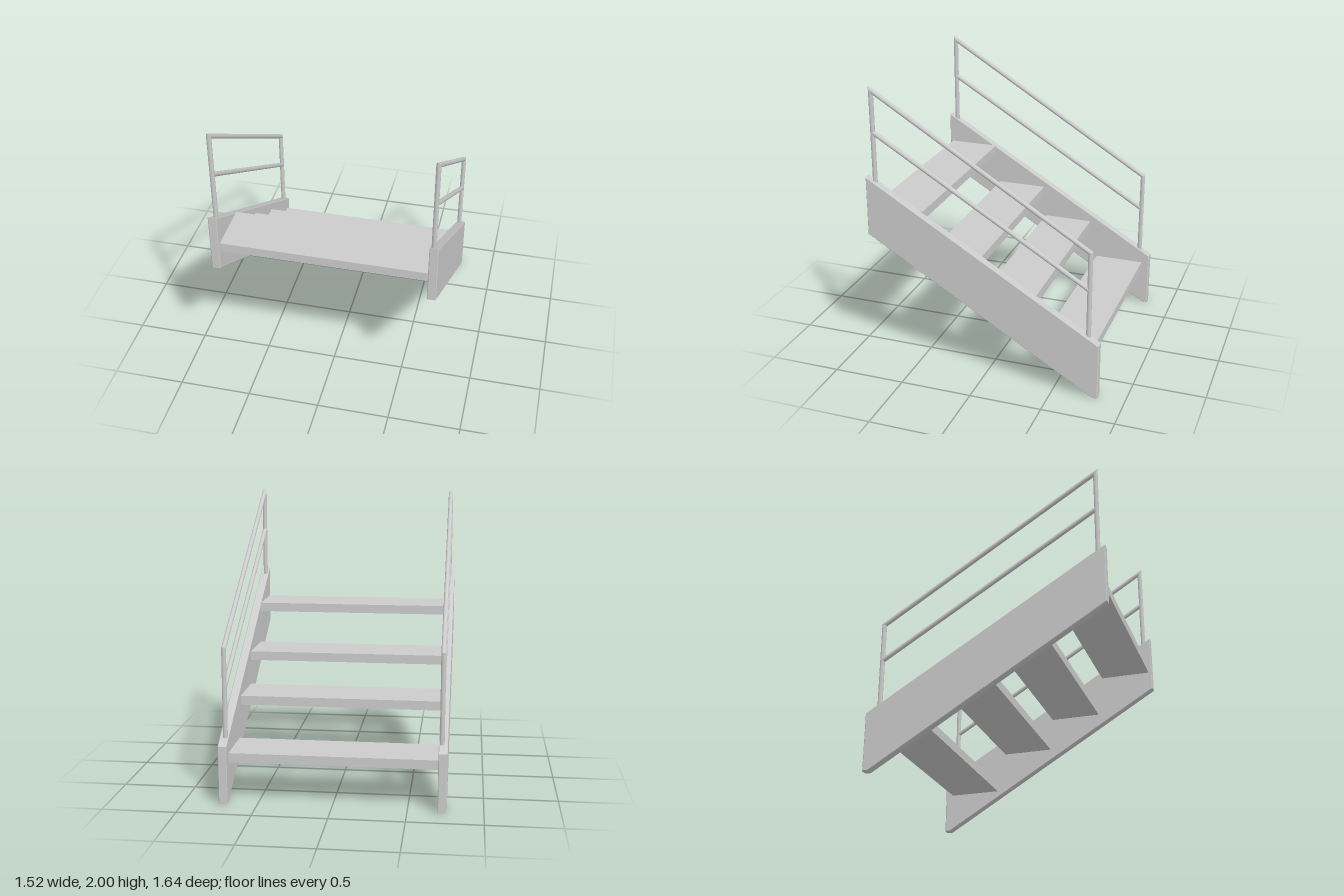
import * as THREE from 'three';

const material = new THREE.MeshStandardMaterial({ color: 0xcccccc });
const V = (x, y, z) => new THREE.Vector3(x, y, z);

function addMesh(parent, name, geometry) {
  const mesh = new THREE.Mesh(geometry, material);
  mesh.name = name;
  parent.add(mesh);
  return mesh;
}

// Round bar from a to b, each end cut along the plane with the given normal
function mitredBar(a, b, normalA, normalB, radius = 0.016) {
  const dir = b.clone().sub(a);
  const length = dir.length();
  dir.normalize();
  const geo = new THREE.CylinderGeometry(radius, radius, length, 16);
  geo.translate(0, length / 2, 0);
  geo.applyQuaternion(new THREE.Quaternion().setFromUnitVectors(V(0, 1, 0), dir));
  geo.translate(a.x, a.y, a.z);
  const pos = geo.attributes.position;
  const p = V(0, 0, 0);
  for (let i = 0; i < pos.count; i++) {
    p.fromBufferAttribute(pos, i);
    const atB = p.clone().sub(a).dot(dir) > length / 2;
    const end = atB ? b : a;
    const n = atB ? normalB : normalA;
    p.addScaledVector(dir, end.clone().sub(p).dot(n) / dir.dot(n));
    pos.setXYZ(i, p.x, p.y, p.z);
  }
  return geo;
}

// Sloped side board, drawn in (z, y) and given a fine bevel
function stringerGeometry() {
  const bevel = 0.005;
  const shape = new THREE.Shape([
    [0.815, 0.965], [0.815, 1.372], [-0.811, 0.396], [-0.811, 0.005], [-0.78, 0.005],
  ].map(([z, y]) => new THREE.Vector2(-z, y)));
  const geo = new THREE.ExtrudeGeometry(shape, {
    depth: 0.06 - 2 * bevel, bevelEnabled: true,
    bevelSize: bevel, bevelThickness: bevel, bevelSegments: 1,
  });
  geo.translate(0, 0, bevel - 0.03);
  geo.rotateY(Math.PI / 2);
  return geo;
}

// Two posts, a mitred handrail and a middle rail
function buildRailing(x) {
  const railing = new THREE.Group();
  const up = V(0, 1, 0);
  const along = V(0, 0, 1);
  const zHigh = 0.764, zLow = -0.735;
  const topHigh = V(x, 1.971, zHigh), topLow = V(x, 1.046, zLow);
  const rail = topHigh.clone().sub(topLow).normalize();
  const mitreLow = up.clone().add(rail).normalize();
  const mitreHigh = rail.clone().sub(up).normalize();

  addMesh(railing, 'upperPost', mitredBar(V(x, 1.32, zHigh), topHigh, up, mitreHigh));
  addMesh(railing, 'lowerPost', mitredBar(V(x, 0.42, zLow), topLow, up, mitreLow));
  addMesh(railing, 'handrail', mitredBar(topLow, topHigh, mitreLow, mitreHigh));
  addMesh(railing, 'middleRail',
    mitredBar(V(x, 0.78, zLow), V(x, 1.685, zHigh), along, along));
  return railing;
}

export function createModel() {
  const model = new THREE.Group();
  model.name = 'openStairs';

  // Side boards and railings
  for (const [side, sign] of [['left', 1], ['right', -1]]) {
    addMesh(model, side + 'Stringer', stringerGeometry()).position.x = sign * 0.728;
    const railing = buildRailing(sign * 0.72);
    railing.name = side + 'Railing';
    model.add(railing);
  }

  // Treads: centre z and underside height, from lowest to highest
  const treads = [[-0.58, 0.275], [-0.16, 0.562], [0.22, 0.8], [0.617, 1.094]];
  treads.forEach(([z, y], i) => {
    const tread = addMesh(model, 'tread' + (i + 1), new THREE.BoxGeometry(1.4, 0.064, 0.36));
    tread.position.set(0, y + 0.032, z);
  });

  return model;
}
